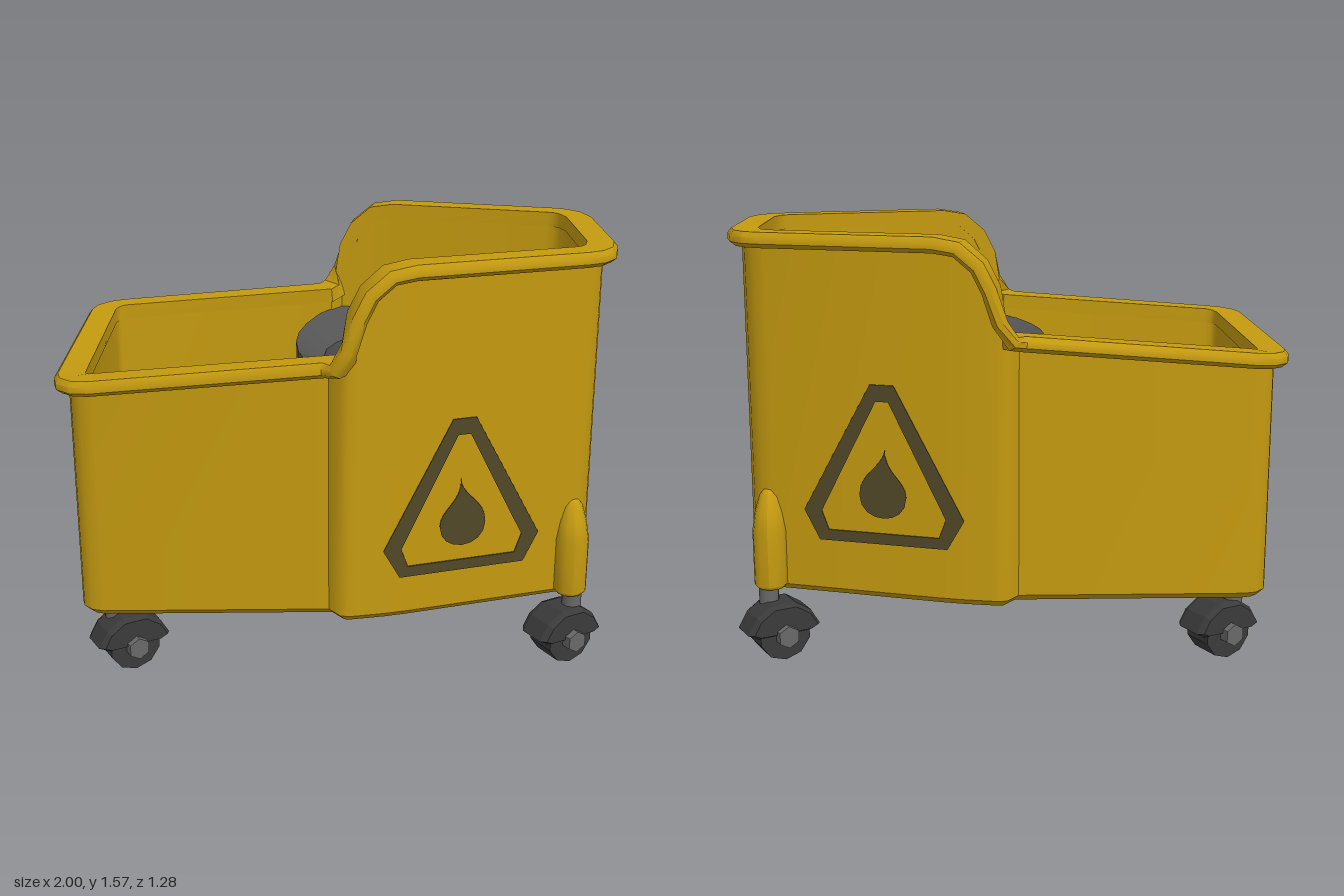
import * as THREE from 'three';
import { toCreasedNormals } from 'three/addons/utils/BufferGeometryUtils.js';

const V = (x, y, z) => new THREE.Vector3(x, y, z);
const paint = (name, color) => {
  const m = new THREE.MeshStandardMaterial({ color });
  m.name = name;
  return m;
};

// Half outline [x, z, height] from the low end to the high end, mirrored to a closed ring
function mirrorRing(half) {
  const back = half.slice(1, -1).reverse().map(([x, z, y]) => [x, -z, y]);
  return [...half, ...back].map(([x, z, y = 0]) => V(x, y, z));
}

// Skin between closed rings, all with the same number of points
function loft(rings, crease = 0.8) {
  const n = rings[0].length, pos = [], index = [];
  rings.forEach(r => r.forEach(p => pos.push(p.x, p.y, p.z)));
  for (let r = 0; r < rings.length - 1; r++) {
    for (let i = 0; i < n; i++) {
      const j = (i + 1) % n, a = r * n + i, b = r * n + j, c = b + n, d = a + n;
      index.push(a, b, c, a, c, d);
    }
  }
  const g = new THREE.BufferGeometry();
  g.setAttribute('position', new THREE.Float32BufferAttribute(pos, 3));
  g.setIndex(index);
  return toCreasedNormals(g, crease);
}

// Outward mitred normals of a ring in plan
function planNormals(ring) {
  const n = ring.length;
  const edge = i => {
    const a = ring[i % n], b = ring[(i + 1) % n];
    return V(a.z - b.z, 0, b.x - a.x).normalize();
  };
  return ring.map((_, i) => {
    const e = edge(i), m = edge(i + n - 1).add(e).normalize();
    return m.divideScalar(Math.max(0.7, m.dot(e)));
  });
}

export function createModel() {
  const yellow = paint('yellow plastic', 0xc49a10);
  const grey = paint('grey wringer', 0x555555);
  const dark = paint('dark caster', 0x3a3a3a);
  const metal = paint('caster metal', 0x686868);
  const olive = paint('sign print', 0x504828);

  const model = new THREE.Group();
  const add = (name, geo, mat, parent = model) => {
    const m = new THREE.Mesh(geo, mat);
    m.name = name;
    parent.add(m);
    return m;
  };

  // Outline of the bucket with the height of its rim
  const half = [[-0.95, 0, 1.13]];
  for (let i = 0; i <= 3; i++) {
    const a = i * Math.PI / 6, x = -0.86 - 0.09 * Math.cos(a);
    half.push([x, 0.43 + 0.093 * Math.sin(a), 1.13 + (x + 0.95) * 0.08]);
  }
  half.push([-0.04, 0.525, 1.2], [0, 0.58, 1.21], [0.03, 0.588, 1.28], [0.06, 0.583, 1.39],
    [0.1, 0.576, 1.47], [0.17, 0.563, 1.53], [0.25, 0.543, 1.543], [0.85, 0.367, 1.543],
    [0.895, 0.345, 1.543], [0.93, 0.3, 1.543], [0.95, 0.22, 1.543], [0.95, 0, 1.543]);
  const path = mirrorRing(half), normals = planNormals(path);
  const offset = (d, y) => path.map((p, i) => {
    const q = p.clone().addScaledVector(normals[i], d);
    if (y !== undefined) q.y = y;
    return q;
  });
  const centre = y => path.map(() => V(0, y, 0));

  // Hollow body, from underside to inner floor
  add('bucketBody', loft([centre(0.25), offset(-0.025, 0.25), offset(0, 0.275), offset(0),
    offset(-0.055), offset(-0.063, 0.3), centre(0.3)], 0.75), yellow);

  // Rolled rim that follows the step
  const n = path.length;
  const section = [[-0.06, -0.028], [0.03, -0.028], [0.05, -0.012], [0.05, 0.01],
    [0.035, 0.028], [-0.06, 0.028], [-0.06, -0.028]];
  const rimRings = section.map(([a, b]) => path.map((p, i) => {
    const t = path[(i + 1) % n].clone().sub(path[(i + n - 1) % n]).normalize();
    const up = normals[i].clone().cross(t).normalize();
    return p.clone().addScaledVector(normals[i], a).addScaledVector(up, b);
  }));
  add('rim', loft(rimRings, 0.8), yellow);

  // Wringer: a skirt, a sloping lip and a round open well
  const lip = mirrorRing([[-0.155, 0], [-0.145, 0.13], [-0.115, 0.26], [-0.06, 0.41], [0.02, 0.525],
    [0.15, 0.5], [0.33, 0.46], [0.55, 0.392], [0.8, 0.315], [0.87, 0.25], [0.888, 0.17], [0.888, 0]]);
  const lipAt = (s, y) => lip.map(p => V(0.335 + (p.x - 0.335) * s, y, p.z * s));
  const wellAt = (r, y) => lip.map(p => {
    const a = Math.atan2(p.z, p.x - 0.335);
    return V(0.335 + r * Math.cos(a), y, r * Math.sin(a));
  });
  add('wringer', loft([wellAt(0.37, 0.55), lipAt(0.96, 0.55), lipAt(1, 1.14),
    wellAt(0.385, 1.08), wellAt(0.37, 0.55)], 0.9), grey);

  // Warning sign plates, sheared to lie on the tapered sides
  const poly = pts => pts.map(p => new THREE.Vector2(...p));
  const frame = new THREE.Shape(poly([[0.155, 0.525], [0.215, 0.415], [0.68, 0.415],
    [0.735, 0.525], [0.485, 1.0], [0.4, 1.0]]));
  frame.holes.push(new THREE.Path(poly([[0.22, 0.525], [0.42, 0.94], [0.465, 0.94],
    [0.67, 0.525], [0.645, 0.455], [0.245, 0.455]])));
  const drop = new THREE.Shape();
  drop.moveTo(0.435, 0.77);
  drop.bezierCurveTo(0.44, 0.7, 0.53, 0.68, 0.53, 0.595);
  drop.bezierCurveTo(0.53, 0.485, 0.36, 0.485, 0.36, 0.595);
  drop.bezierCurveTo(0.36, 0.66, 0.44, 0.68, 0.435, 0.77);
  const plate = shape => {
    const g = new THREE.ExtrudeGeometry(shape, { depth: 0.006, bevelEnabled: false, curveSegments: 8 });
    const p = g.attributes.position;
    for (let i = 0; i < p.count; i++) p.setZ(i, p.getZ(i) + 0.543 - 0.2933 * (p.getX(i) - 0.25));
    g.computeVertexNormals();
    return g;
  };
  const frameGeo = plate(frame), dropGeo = plate(drop);
  for (const side of [1, -1]) {
    const sign = new THREE.Group();
    sign.name = side > 0 ? 'frontSign' : 'backSign';
    add('signFrame', frameGeo, olive, sign);
    add('signDrop', dropGeo, olive, sign);
    sign.scale.z = side;
    if (side < 0) sign.position.y = 0.045;
    model.add(sign);
  }

  // Bullet-shaped caster posts, leaning into the wall at the tip
  const postGeo = new THREE.LatheGeometry(poly([[0, 0.265], [0.05, 0.265], [0.062, 0.28],
    [0.062, 0.48], [0.052, 0.55], [0.035, 0.61], [0.018, 0.63], [0, 0.632]]), 12);
  const pp = postGeo.attributes.position;
  for (let i = 0; i < pp.count; i++) pp.setZ(i, pp.getZ(i) - Math.max(0, pp.getY(i) - 0.48) * 0.18);
  postGeo.computeVertexNormals();
  for (const side of [1, -1]) {
    const post = add('casterPost', postGeo, yellow);
    post.position.set(0.87, 0, side * 0.375);
    post.scale.z = side;
  }

  // Casters: stem, faceted wheel, fender and axle bolts
  const flat = g => toCreasedNormals(g, 0.3);
  const drum = (r1, r2, w, sides) => flat(new THREE.CylinderGeometry(r1, r2, w, sides).rotateX(Math.PI / 2));
  const wheelGeo = drum(0.1, 0.1, 0.12, 10);
  const boltGeo = drum(0.042, 0.042, 0.2, 6);
  const fenderGeo = flat(new THREE.ExtrudeGeometry(new THREE.Shape(poly([[-0.14, 0.015], [-0.1, -0.005],
    [0.1, -0.005], [0.14, 0.015], [0.105, 0.075], [0.045, 0.115], [-0.045, 0.115], [-0.105, 0.075]])),
  { depth: 0.1, bevelThickness: 0.025, bevelSize: 0.012, bevelOffset: -0.012, bevelSegments: 1 }).translate(0, 0, -0.05));
  const stemGeo = toCreasedNormals(new THREE.CylinderGeometry(0.037, 0.037, 0.12, 10), 0.8);
  for (const side of [1, -1]) {
    for (const [stemX, stemZ, wheelX, wheelZ] of [[0.88, 0.375, 0.845, 0.385], [-0.84, 0.4, -0.79, 0.405]]) {
      const caster = new THREE.Group();
      caster.name = 'caster';
      add('stem', stemGeo, metal, caster).position.set(stemX, 0.23, side * stemZ);
      const fork = new THREE.Group();
      fork.name = 'wheelUnit';
      add('wheel', wheelGeo, dark, fork);
      add('fender', fenderGeo, dark, fork);
      add('axleBolt', boltGeo, metal, fork);
      fork.position.set(wheelX, 0.1, side * wheelZ);
      fork.rotation.y = 0.5;
      caster.add(fork);
      model.add(caster);
    }
  }
  return model;
}
